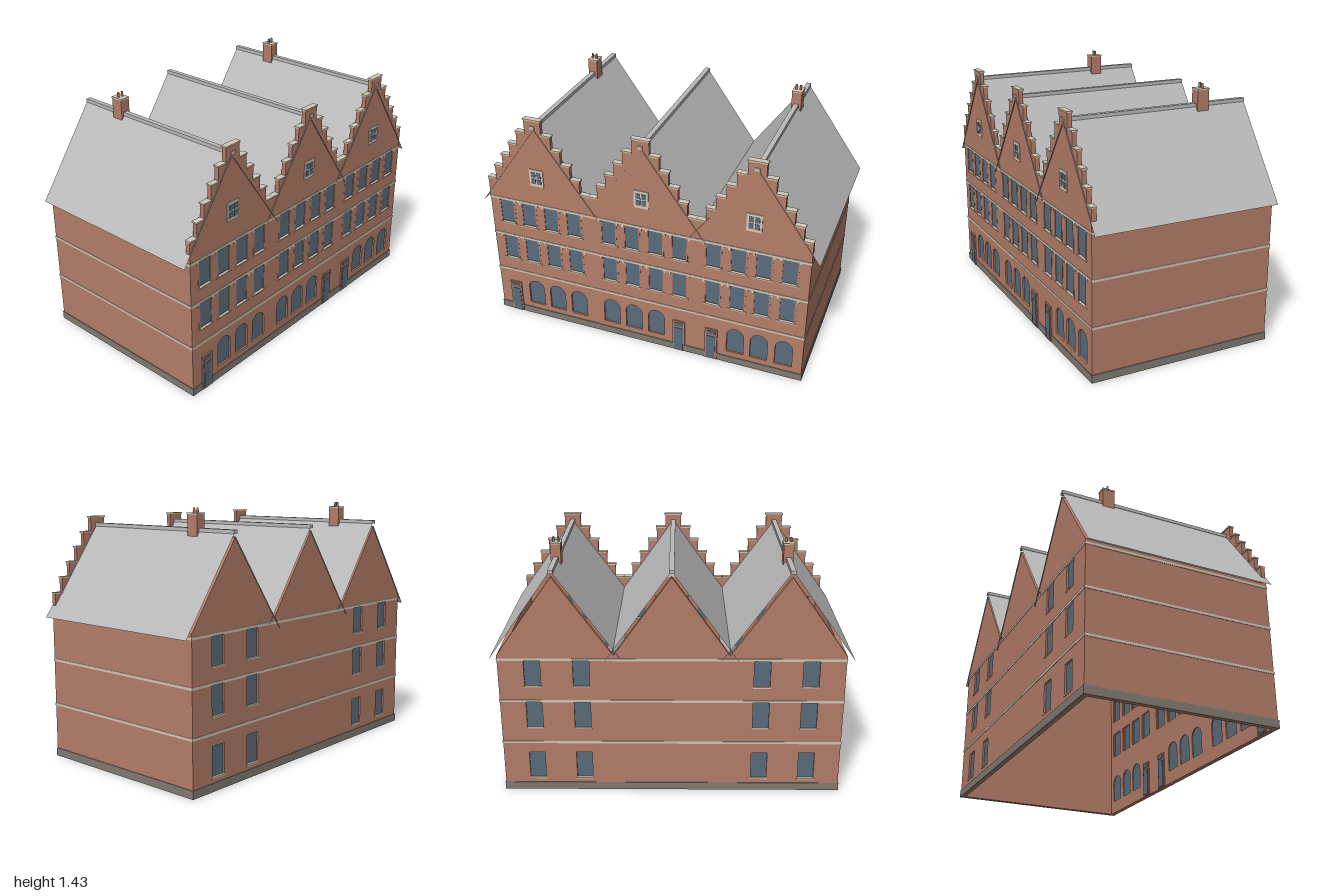
import * as THREE from 'three';

const mat = (name, color) => {
  const m = new THREE.MeshStandardMaterial({ color });
  m.name = name;
  return m;
};

export function createModel() {
  const brick = mat('brick', 0xb47d68);
  const stone = mat('pale stone', 0xd2c8b6);
  const plinthGrey = mat('plinth grey', 0x827a72);
  const slate = mat('roof grey', 0xbababa);
  const glass = mat('window glass', 0x5a6c7c);

  const model = new THREE.Group();
  model.name = 'steppedGableHouses';

  const add = (name, geo, material, x = 0, y = 0, z = 0, parent = model) => {
    const mesh = new THREE.Mesh(geo, material);
    mesh.name = name;
    mesh.position.set(x, y, z);
    parent.add(mesh);
    return mesh;
  };
  // box given by its limits
  const box = (name, material, x0, x1, y0, y1, z0, z1, parent) =>
    add(name, new THREE.BoxGeometry(x1 - x0, y1 - y0, z1 - z0), material,
      (x0 + x1) / 2, (y0 + y1) / 2, (z0 + z1) / 2, parent);

  const W = 0.955, D = 0.54, T = 0.025;
  const ridges = [-0.637, 0, 0.637];
  const half = 0.3183;
  const columns = [-0.85, -0.71, -0.567, -0.423, -0.206, -0.064, 0.078, 0.22, 0.417, 0.56, 0.7, 0.845];
  const doorColumns = [0, 7, 8];
  const floors = [[0.395, 0.56], [0.65, 0.81]];

  // window outlines
  const rect = (x, y0, y1, w, C = THREE.Path) => {
    const p = new C();
    p.moveTo(x - w / 2, y0);
    p.lineTo(x + w / 2, y0);
    p.lineTo(x + w / 2, y1);
    p.lineTo(x - w / 2, y1);
    p.closePath();
    return p;
  };
  const arch = (x, y0, y1, w, C = THREE.Path) => {
    const p = new C();
    p.moveTo(x - w / 2, y0);
    p.lineTo(x + w / 2, y0);
    p.lineTo(x + w / 2, y1 - w / 2);
    p.absarc(x, y1 - w / 2, w / 2, 0, Math.PI, false);
    p.closePath();
    return p;
  };
  const extrude = (shape, depth) =>
    new THREE.ExtrudeGeometry(shape, { depth, bevelEnabled: false, curveSegments: 12 });

  // front wall with stepped gables
  const offsets = [0.318, 0.265, 0.212, 0.158, 0.105, 0.05];
  const tops = [0.94, 1.025, 1.108, 1.19, 1.272, 1.355];
  const front = new THREE.Shape();
  front.moveTo(-W, 0);
  for (const cx of ridges) {
    offsets.forEach((o, i) => {
      if (i) front.lineTo(cx - o, tops[i - 1]);
      front.lineTo(cx - o, tops[i]);
    });
    for (let i = 5; i >= 0; i--) {
      front.lineTo(cx + offsets[i], tops[i]);
      if (i) front.lineTo(cx + offsets[i], tops[i - 1]);
    }
  }
  front.lineTo(W, 0);
  front.closePath();

  columns.forEach((x, i) => {
    for (const [y0, y1] of floors) {
      front.holes.push(rect(x, y0, y1, 0.1));
      // glazing in a slim brick surround, with stone sill and lintel ends
      add('frontWindow', extrude(rect(x, y0 + 0.008, y1 - 0.006, 0.082, THREE.Shape), 0.012), glass, 0, 0, D - 0.014);
      for (const s of [-1, 1]) {
        box('windowSurround', brick, x + s * 0.0455 - 0.0045, x + s * 0.0455 + 0.0045, y0, y1, D - 0.02, D + 0.001);
        box('lintelEnd', stone, x + s * 0.055 - 0.005, x + s * 0.055 + 0.005, y1 - 0.018, y1, D - 0.005, D + 0.003);
      }
      box('windowSill', stone, x - 0.056, x + 0.056, y0 - 0.006, y0 + 0.001, D - 0.01, D + 0.005);
    }
    if (doorColumns.includes(i)) {
      const door = new THREE.Group();
      door.name = 'door';
      model.add(door);
      box('doorFrame', brick, x - 0.037, x + 0.037, 0.002, 0.218, D - 0.03, D + 0.008, door);
      box('doorLeaf', glass, x - 0.027, x + 0.027, 0.008, 0.17, D - 0.035, D + 0.011, door);
      box('doorTransom', glass, x - 0.027, x + 0.027, 0.182, 0.208, D - 0.035, D + 0.011, door);
    } else {
      front.holes.push(arch(x, 0.08, 0.25, 0.102));
      add('archedWindow', extrude(arch(x, 0.08, 0.25, 0.102, THREE.Shape), 0.01), glass, 0, 0, D - 0.02);
    }
  });
  add('frontWall', extrude(front, T), brick, 0, 0, D - T);

  // back wall with plain gables just below the roof
  const slope = 0.51 / 0.363;
  const valley = 1.285 - half * slope;
  const back = new THREE.Shape();
  back.moveTo(-W, 0);
  back.lineTo(-W, valley);
  for (const cx of ridges) {
    back.lineTo(cx, 1.285);
    back.lineTo(cx === ridges[2] ? W : cx + half, valley);
  }
  back.lineTo(W, 0);
  back.closePath();
  for (const x of [-0.766, -0.497, 0.497, 0.766]) {
    for (const [y0, y1] of [[0.075, 0.24], ...floors]) {
      back.holes.push(rect(x, y0, y1, 0.09));
      add('backWindow', extrude(rect(x, y0, y1, 0.09, THREE.Shape), 0.01), glass, 0, 0, -D + 0.01);
      box('backSill', stone, x - 0.05, x + 0.05, y0 - 0.006, y0 + 0.001, -D - 0.004, -D + 0.01);
    }
  }
  add('backWall', extrude(back, T), brick, 0, 0, -D);

  // side walls, plinth and stone bands
  const ring = (name, material, y0, y1, out) => {
    for (const s of [-1, 1]) {
      const x = s * (W + out / 2 - 0.005), z = s * (D + out / 2 - 0.005);
      const t = out / 2 + 0.005;
      box(name, material, x - t, x + t, y0, y1, -D - out, D + out);
      box(name, material, -W - out, W + out, y0, y1, z - t, z + t);
    }
  };
  for (const s of [-1, 1]) {
    const x = s * (W - T / 2);
    box('sideWall', brick, x - T / 2, x + T / 2, 0, valley, -D + T, D - T);
  }
  ring('plinth', plinthGrey, 0, 0.045, 0.004);
  ring('lowerBand', stone, 0.298, 0.312, 0.003);
  ring('middleBand', stone, 0.556, 0.57, 0.003);
  ring('upperBand', stone, 0.806, 0.82, 0.003);

  // one roof slope: open sheet from ridge to eave
  const sheet = (cx, s, drop, up) => {
    const ex = cx + s * 0.363, z = 0.545;
    const g = new THREE.BufferGeometry();
    g.setAttribute('position', new THREE.Float32BufferAttribute([
      cx, 1.32 - drop, z, ex, 0.81 - drop, z, ex, 0.81 - drop, -z, cx, 1.32 - drop, -z], 3));
    g.setIndex((s > 0) === up ? [0, 1, 2, 0, 2, 3] : [0, 2, 1, 0, 3, 2]);
    g.computeVertexNormals();
    return g;
  };

  for (const cx of ridges) {
    for (const s of [-1, 1]) {
      add('roofSlope', sheet(cx, s, 0, true), slate);
      add('roofUnderside', sheet(cx, s, 0.03, false), slate);
    }
    box('ridgeCap', slate, cx - 0.014, cx + 0.014, 1.304, 1.324, -0.545, 0.545);

    // stone copings on the gable steps
    offsets.forEach((o, i) => {
      const y = tops[i];
      if (i === 5) {
        box('stepCoping', stone, cx - o - 0.004, cx + o + 0.004, y, y + 0.008, D - T - 0.005, D + 0.004);
        return;
      }
      for (const s of [-1, 1]) {
        const a = cx + s * (o + (i ? 0.004 : 0)), b = cx + s * offsets[i + 1];
        box('stepCoping', stone, Math.min(a, b), Math.max(a, b), y - 0.001, y + 0.007, D - T - 0.005, D + 0.004);
      }
    });

    // attic window: stone frame with four panes
    box('atticFrame', stone, cx - 0.043, cx + 0.043, 0.942, 1.05, D - T - 0.005, D + 0.005);
    for (const px of [-0.017, 0.017]) {
      for (const py of [0.976, 1.017]) {
        box('atticPane', glass, cx + px - 0.0135, cx + px + 0.0135, py - 0.0165, py + 0.0165, D, D + 0.007);
      }
    }
  }

  // chimneys with paired pots
  for (const cx of [ridges[0], ridges[2]]) {
    const chimney = new THREE.Group();
    chimney.name = 'chimney';
    chimney.position.set(cx, 0, -0.27);
    model.add(chimney);
    box('chimneyStack', brick, -0.028, 0.028, 1.275, 1.395, -0.035, 0.035, chimney);
    box('chimneyCap', stone, -0.03, 0.03, 1.394, 1.402, -0.037, 0.037, chimney);
    for (const s of [-1, 1]) {
      add('chimneyPot', new THREE.CylinderGeometry(0.006, 0.007, 0.028, 10), brick, s * 0.013, 1.415, 0, chimney);
    }
  }
  return model;
}
